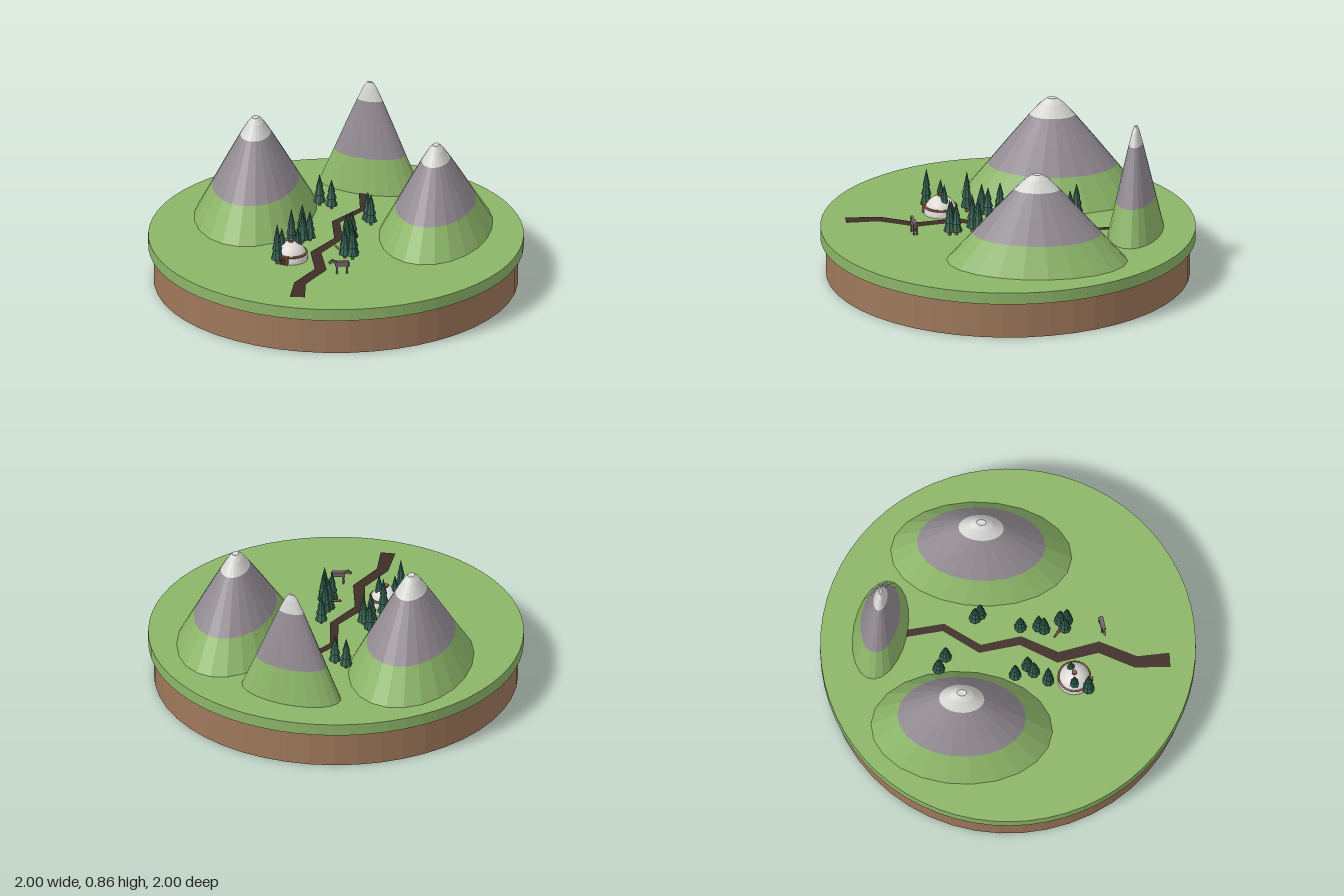
import * as THREE from 'three';

const mat = (name, color, extra = {}) =>
  Object.assign(new THREE.MeshStandardMaterial({ color, ...extra }), { name });

export function createModel() {
  const M = {
    soil: mat('soil brown', 0x9f785b, { flatShading: true }),
    grass: mat('grass green', 0x8cb568, { flatShading: true }),
    rock: mat('rock grey', 0x928b92, { flatShading: true }),
    snow: mat('snow white', 0xd6d6d4, { flatShading: true }),
    path: mat('path brown', 0x3f2d27, { side: THREE.DoubleSide }),
    pine: mat('pine green', 0x33604f, { flatShading: true }),
    wood: mat('wood brown', 0x8a5a3c),
    plaster: mat('hut white', 0xdcd8d6),
    hide: mat('animal grey', 0x706468),
  };
  const G = 0.265; // ground level
  const model = new THREE.Group();
  model.name = 'valleyIsland';

  const add = (parent, name, geo, material, x = 0, y = 0, z = 0) => {
    const m = new THREE.Mesh(geo, material);
    m.name = name;
    m.position.set(x, y, z);
    parent.add(m);
    return m;
  };
  const group = (name, x, y, z, parent = model) => {
    const g = new THREE.Group();
    g.name = name;
    g.position.set(x, y, z);
    parent.add(g);
    return g;
  };

  // Round base
  add(model, 'soilDisc', new THREE.CylinderGeometry(0.97, 0.97, 0.2, 48), M.soil, 0, 0.1, 0);
  add(model, 'grassDisc', new THREE.CylinderGeometry(1, 1, G - 0.2, 64), M.grass, 0, (G + 0.2) / 2, 0);

  // Mountains: one unit profile in three coloured bands, stretched to an ellipse
  const bands = [
    ['grassSlope', M.grass, [[1, 0], [0.71, 0.32]]],
    ['rockSlope', M.rock, [[0.71, 0.32], [0.47, 0.59], [0.25, 0.83]]],
    ['snowCap', M.snow, [[0.25, 0.83], [0.13, 0.95], [0.055, 1], [0, 0.995]]],
  ];
  const mountain = (name, x, z, sx, h, sz, turn) => {
    const g = group(name, x, G, z);
    for (const [part, material, pts] of bands) {
      add(g, part, new THREE.LatheGeometry(pts.map(p => new THREE.Vector2(...p)), 22), material);
    }
    g.scale.set(sx, h, sz);
    g.rotation.y = THREE.MathUtils.degToRad(turn);
  };
  mountain('leftMountain', -0.405, -0.34, 0.32, 0.545, 0.484, -15);
  mountain('rightMountain', 0.535, -0.03, 0.295, 0.49, 0.483, -15);
  mountain('backMountain', 0.228, -0.645, 0.282, 0.595, 0.144, -23);

  // Winding path: x, z, width
  const way = [
    [-0.265, 0.825, 0.08], [-0.238, 0.645, 0.065], [-0.115, 0.47, 0.065], [-0.125, 0.245, 0.06],
    [0.01, 0.07, 0.05], [0.01, -0.15, 0.046], [0.17, -0.315, 0.042], [0.18, -0.54, 0.04],
  ];
  const verts = [], index = [];
  way.forEach(([x, z, w], i) => {
    const a = way[Math.max(i - 1, 0)], b = way[Math.min(i + 1, way.length - 1)];
    const dx = b[0] - a[0], dz = b[1] - a[1], k = w / 2 / Math.hypot(dx, dz);
    verts.push(x + dz * k, G + 0.004, z - dx * k, x - dz * k, G + 0.004, z + dx * k);
    const n = i * 2;
    if (i) index.push(n - 2, n - 1, n, n - 1, n + 1, n);
  });
  const strip = new THREE.BufferGeometry();
  strip.setAttribute('position', new THREE.Float32BufferAttribute(verts, 3));
  strip.setIndex(index);
  strip.computeVertexNormals();
  // Make the strip face upward
  if (strip.attributes.normal.getY(0) < 0) {
    strip.setIndex(index.slice().reverse());
    strip.computeVertexNormals();
  }
  add(model, 'path', strip, M.path);

  // Pine trees: x, z, height
  const trees = [
    [-0.06, -0.39, 0.18], [0, -0.34, 0.17], [0.18, -0.14, 0.18], [0.195, -0.11, 0.18],
    [-0.145, 0.075, 0.17], [-0.18, 0, 0.18], [-0.185, 0.1, 0.18], [-0.25, 0.165, 0.23],
    [0.08, 0.085, 0.17], [0.06, 0.18, 0.2], [0.04, 0.205, 0.21], [0.07, 0.3, 0.18],
    [0.065, 0.335, 0.2], [0.025, 0.315, 0.18], [-0.34, 0.365, 0.23], [-0.31, 0.295, 0.175],
    [-0.225, 0.295, 0.175],
  ];
  const tiers = [[0.034, 0.12, 0.55], [0.028, 0.36, 0.44], [0.02, 0.58, 0.42]];
  trees.forEach(([x, z, h], i) => {
    const t = group('pineTree', x, G, z);
    add(t, 'trunk', new THREE.CylinderGeometry(0.008, 0.009, h * 0.2, 6), M.wood, 0, h * 0.1, 0);
    for (const [r, from, tall] of tiers) {
      add(t, 'branches', new THREE.ConeGeometry(r, h * tall, 8), M.pine, 0, h * (from + tall / 2), 0);
    }
    t.rotation.y = i * 0.7;
  });

  // Domed hut with a wooden band, chimney and door
  const hut = group('hut', -0.262, G, 0.305);
  const dome = add(hut, 'dome', new THREE.SphereGeometry(0.09, 24, 10, 0, Math.PI * 2, 0, Math.PI / 2), M.plaster);
  dome.scale.y = 1.1;
  const band = add(hut, 'band', new THREE.TorusGeometry(0.084, 0.006, 6, 24), M.wood, 0, 0.04, 0);
  band.rotation.x = Math.PI / 2;
  add(hut, 'chimney', new THREE.CylinderGeometry(0.014, 0.014, 0.03, 8), M.wood, 0, 0.095, 0);
  const porch = group('doorway', 0, 0, 0, hut);
  porch.rotation.y = -0.5;
  add(porch, 'door', new THREE.BoxGeometry(0.034, 0.038, 0.008), M.path, 0, 0.019, 0.09);
  for (const s of [-1, 1]) {
    add(porch, 'doorPost', new THREE.BoxGeometry(0.007, 0.044, 0.014), M.wood, s * 0.02, 0.022, 0.09);
  }
  add(porch, 'lintel', new THREE.BoxGeometry(0.048, 0.007, 0.016), M.wood, 0, 0.044, 0.09);

  // Grazing animal beside the path
  const animal = group('animal', -0.005, G, 0.512);
  add(animal, 'body', new THREE.BoxGeometry(0.07, 0.026, 0.024), M.hide, 0, 0.054, 0);
  for (const x of [-0.027, 0.027]) for (const z of [-0.008, 0.008]) {
    add(animal, 'leg', new THREE.BoxGeometry(0.009, 0.044, 0.008), M.hide, x, 0.022, z);
  }
  const neck = add(animal, 'neck', new THREE.BoxGeometry(0.034, 0.015, 0.013), M.hide, -0.042, 0.066, 0);
  neck.rotation.z = -0.35;
  const head = add(animal, 'head', new THREE.BoxGeometry(0.024, 0.013, 0.012), M.hide, -0.059, 0.064, 0);
  head.rotation.z = 0.6;
  add(animal, 'tail', new THREE.BoxGeometry(0.005, 0.03, 0.005), M.path, 0.037, 0.048, 0);

  // Leaning branch by the trees
  const log = add(model, 'branch', new THREE.CylinderGeometry(0.006, 0.008, 0.065, 6), M.wood, 0, G + 0.03, 0.268);
  log.rotation.set(0, -0.75, 1.2);

  return model;
}
